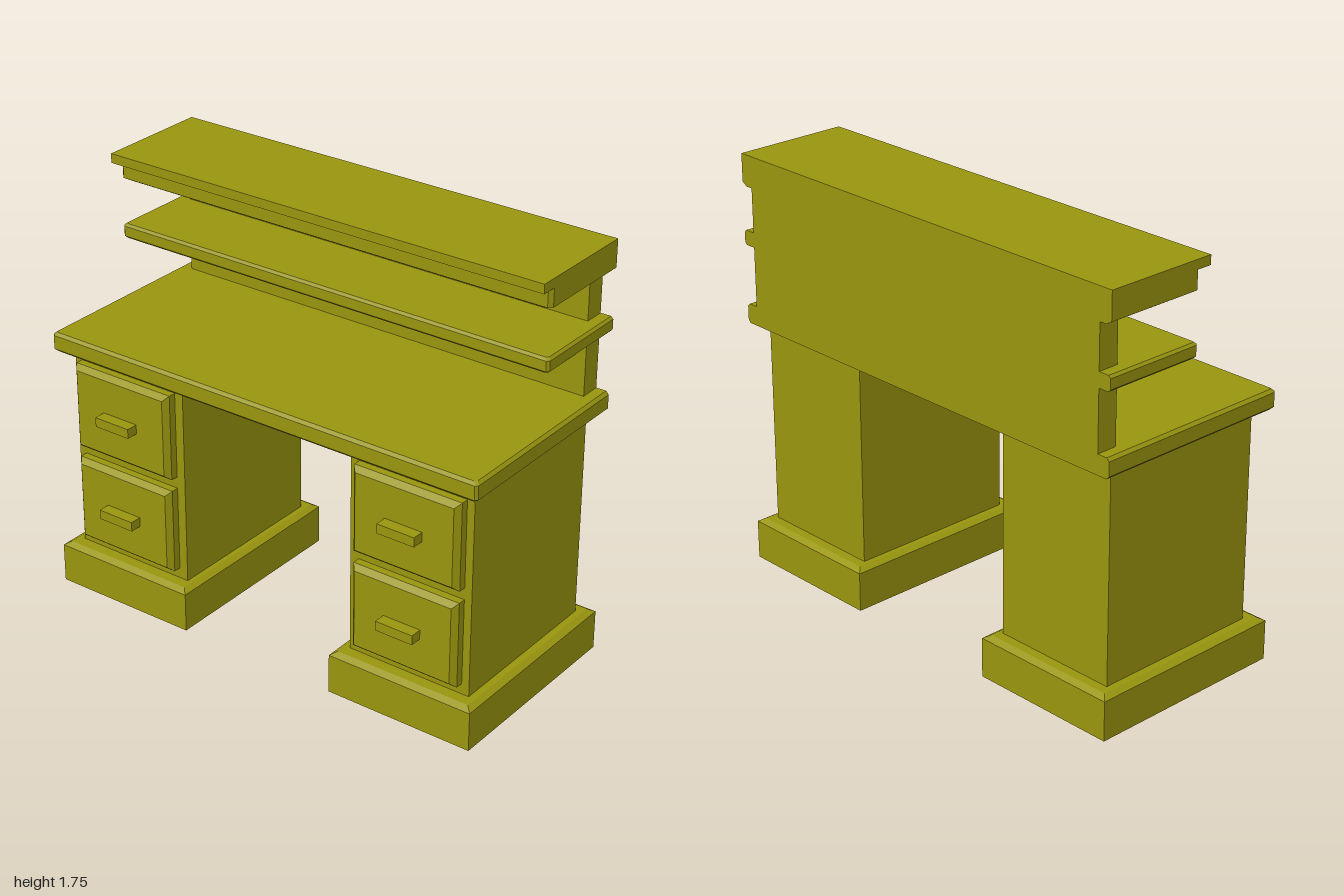
import * as THREE from 'three';

const material = new THREE.MeshStandardMaterial({ color: 0x99950f, flatShading: true });

// Horizontal outline; the front (+z) corners can be cut at an angle
function outline(x0, x1, z0, z1, cut = 0) {
  const front = cut
    ? [[x0, z1 - cut], [x0 + cut, z1], [x1 - cut, z1], [x1, z1 - cut]]
    : [[x0, z1], [x1, z1]];
  return [...front, [x1, z0], [x0, z0]];
}

// Solid skinned over a stack of [height, outline] sections, capped at both ends
function loft(sections) {
  const rings = sections.map(([y, pts]) => pts.map(([x, z]) => [x, y, z]));
  const pos = [];
  const tri = (a, b, c) => pos.push(...a, ...b, ...c);
  const n = rings[0].length, top = rings[rings.length - 1], bottom = rings[0];
  for (let r = 0; r + 1 < rings.length; r++) {
    const a = rings[r], b = rings[r + 1];
    for (let i = 0; i < n; i++) {
      const j = (i + 1) % n;
      tri(a[i], a[j], b[j]);
      tri(a[i], b[j], b[i]);
    }
  }
  for (let i = 1; i + 1 < n; i++) {
    tri(top[0], top[i], top[i + 1]);
    tri(bottom[0], bottom[i + 1], bottom[i]);
  }
  const geometry = new THREE.BufferGeometry();
  geometry.setAttribute('position', new THREE.Float32BufferAttribute(pos, 3));
  geometry.computeVertexNormals();
  return geometry;
}

function add(parent, name, geometry) {
  const mesh = new THREE.Mesh(geometry, material);
  mesh.name = name;
  parent.add(mesh);
  return mesh;
}

function box(parent, name, x0, x1, y0, y1, z0, z1) {
  const geometry = new THREE.BoxGeometry(x1 - x0, y1 - y0, z1 - z0);
  geometry.translate((x0 + x1) / 2, (y0 + y1) / 2, (z0 + z1) / 2);
  return add(parent, name, geometry);
}

// Full-width board with a square back and bevelled sides and front
function board(parent, name, y0, y1, zFront, bevelBottom, bevelTop, cut) {
  const section = (y, inset) =>
    [y, outline(-1 + inset, 1 - inset, BACK, zFront - inset, cut)];
  return add(parent, name, loft([
    section(y0, bevelBottom), section(y0 + Math.min(bevelBottom, 0.015), 0),
    section(y1 - Math.min(bevelTop, 0.015), 0), section(y1, bevelTop),
  ]));
}

const BACK = -0.455;

// Drawer front with a bevelled face, plus its handle
function drawer(cx, y0, y1) {
  const group = new THREE.Group();
  group.name = 'drawer';
  const w = 0.2375;
  const section = (z, i) => [z, outline(cx - w + i, cx + w - i, -y1 + i, -y0 - i)];
  const front = loft([section(0.34, 0), section(0.382, 0), section(0.405, 0.02)]);
  front.rotateX(Math.PI / 2);
  add(group, 'drawerFront', front);
  const hy = (y0 + y1) / 2;
  box(group, 'drawerHandle', cx - 0.083, cx + 0.083, hy - 0.02, hy + 0.02, 0.4, 0.455);
  return group;
}

// Drawer pedestal on a plinth with a bevelled top edge
function pedestal(side) {
  const group = new THREE.Group();
  group.name = side > 0 ? 'leftPedestal' : 'rightPedestal';
  const cx = side * 0.6775, w = 0.3225;
  const section = (y, i) => [y, outline(cx - w + i, cx + w - i, BACK + i, 0.422 - i)];
  add(group, 'plinth', loft([section(0, 0), section(0.165, 0), section(0.18, 0.025)]));
  const bx = side * 0.674;
  box(group, 'cabinet', bx - 0.273, bx + 0.273, 0.17, 1.06, -0.39, 0.35);
  group.add(drawer(bx + side * 0.003, 0.225, 0.59), drawer(bx + side * 0.003, 0.64, 1.008));
  return group;
}

export function createModel() {
  const desk = new THREE.Group();
  desk.name = 'desk';
  desk.add(pedestal(1), pedestal(-1));

  // Worktop
  board(desk, 'worktop', 1.05, 1.132, 0.422, 0.012, 0.012, 0.01);

  // Hutch: back panel, middle shelf and capped top shelf
  box(desk, 'backPanel', -0.945, 0.945, 1.12, 1.64, BACK, -0.366);
  board(desk, 'middleShelf', 1.38, 1.442, -0.015, 0.01, 0.01, 0.01);
  board(desk, 'topShelf', 1.625, 1.716, -0.015, 0.025, 0, 0.015);
  box(desk, 'topCap', -1, 1, 1.716, 1.755, BACK, 0.036);
  return desk;
}
